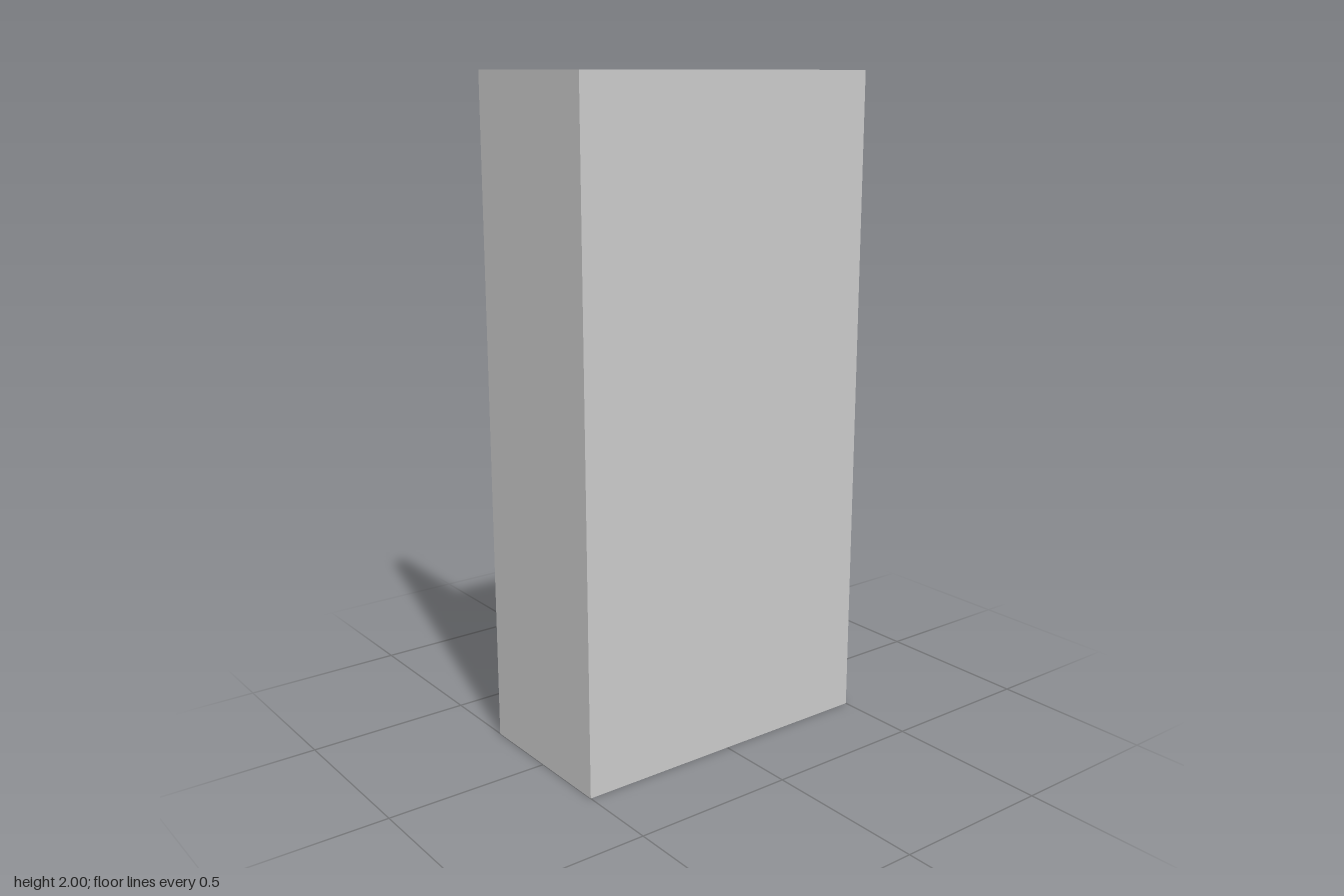
import * as THREE from 'three';

const panel = new THREE.MeshStandardMaterial({ name: 'grey panel', color: 0xcacaca, side: THREE.DoubleSide });
const metal = new THREE.MeshStandardMaterial({ name: 'slate metal', color: 0x778899, side: THREE.DoubleSide });

const W = 0.5, D = 0.25, T = 0.05, H = 2, FLOOR = 0.02;

function add(parent, name, geometry, material) {
  const mesh = new THREE.Mesh(geometry, material);
  mesh.name = name;
  parent.add(mesh);
  return mesh;
}

// Upright sheet from y0 to y1, turned about y and centred on (x, z)
function sheet(parent, name, width, y0, y1, x, z, turn) {
  const mesh = add(parent, name, new THREE.PlaneGeometry(width, y1 - y0), panel);
  mesh.position.set(x, (y0 + y1) / 2, z);
  mesh.rotation.y = turn;
}

function tube(parent, name, curve, radius, sides) {
  return add(parent, name, new THREE.TubeGeometry(curve, 20, radius, sides, false), metal);
}

function lathe(points, sides) {
  return new THREE.LatheGeometry(points.map(p => new THREE.Vector2(...p)), sides).toNonIndexed();
}

// Hollow three-sided stall, open underneath and along its -z side
function stall() {
  const g = new THREE.Group();
  g.name = 'stall';
  sheet(g, 'mainWallOuter', 2 * W, 0, H, 0, D, 0);
  sheet(g, 'mainWallInner', 2 * (W - T), FLOOR, H, 0, D - T, Math.PI);
  sheet(g, 'threshold', 2 * (W - T), 0, FLOOR, 0, -D, Math.PI);
  for (const s of [1, -1]) {
    sheet(g, 'sideWallOuter', 2 * D, 0, H, s * W, 0, s * Math.PI / 2);
    sheet(g, 'sideWallInner', 2 * D - T, FLOOR, H, s * (W - T), -T / 2, -s * Math.PI / 2);
    sheet(g, 'sideWallEnd', T, 0, H, s * (W - T / 2), -D, Math.PI);
  }
  // Top rim; shape y becomes -z once laid flat
  const rim = new THREE.Shape([
    [-W, -D], [W, -D], [W, D], [W - T, D], [W - T, T - D], [T - W, T - D], [T - W, D], [-W, D],
  ].map(p => new THREE.Vector2(...p)));
  const top = add(g, 'topRim', new THREE.ShapeGeometry(rim), panel);
  top.rotation.x = -Math.PI / 2;
  top.position.y = H;
  const floor = add(g, 'floor', new THREE.PlaneGeometry(2 * (W - T), 2 * D - T), panel);
  floor.rotation.x = -Math.PI / 2;
  floor.position.set(0, FLOOR, -T / 2);
  return g;
}

// Bent arm and tilted head with a recessed face
function shower() {
  const g = new THREE.Group();
  g.name = 'shower';
  const arm = new THREE.CatmullRomCurve3([
    [0.2, 1.275], [0.165, 1.273], [0.13, 1.262], [0.105, 1.24], [0.08, 1.208],
  ].map(([z, y]) => new THREE.Vector3(0, y, z)));
  tube(g, 'showerArm', arm, 0.02, 12);
  const profile = [[0, 0.012], [0.03, 0.012], [0.034, 0], [0.042, 0], [0.042, 0.062], [0.02, 0.08]];
  const geometry = lathe(profile, 16);
  geometry.computeVertexNormals();
  const head = add(g, 'showerHead', geometry, metal);
  head.position.set(0, 1.165, 0.035);
  head.rotation.x = 0.65;
  return g;
}

// Bridge pipe with wall flanges and a central knob
function faucet() {
  const g = new THREE.Group();
  g.name = 'faucet';
  g.position.y = 0.507;
  const v = (x, z) => new THREE.Vector3(x, 0, z);
  const path = new THREE.CurvePath();
  path.add(new THREE.LineCurve3(v(-0.1, 0.2), v(-0.1, 0.165)));
  path.add(new THREE.QuadraticBezierCurve3(v(-0.1, 0.165), v(-0.1, 0.125), v(-0.06, 0.125)));
  path.add(new THREE.LineCurve3(v(-0.06, 0.125), v(0.06, 0.125)));
  path.add(new THREE.QuadraticBezierCurve3(v(0.06, 0.125), v(0.1, 0.125), v(0.1, 0.165)));
  path.add(new THREE.LineCurve3(v(0.1, 0.165), v(0.1, 0.2)));
  tube(g, 'bridgePipe', path, 0.01, 8);
  for (const s of [1, -1]) {
    const flange = add(g, 'wallFlange', new THREE.CylinderGeometry(0.016, 0.016, 0.01, 8), metal);
    flange.rotation.x = Math.PI / 2;
    flange.position.set(s * 0.1, 0, 0.195);
  }
  const knob = add(g, 'knob', new THREE.CylinderGeometry(0.018, 0.029, 0.035, 12), metal);
  knob.rotation.x = Math.PI / 2;
  knob.rotation.x *= -1;
  knob.rotation.z = Math.PI;
  knob.scale.y = -1;
  knob.scale.x = -1;
  knob.position.set(0, 0, 0.105);
  return g;
}

// Eight-sided drain ring, domed strainer and short outlet below the floor
function drain() {
  const g = new THREE.Group();
  g.name = 'drain';
  g.position.z = -0.027;
  const ring = lathe([[0.024, 0], [0.037, 0.016], [0.037, 0.028], [0.029, 0.028], [0.026, 0.021]], 8);
  ring.computeVertexNormals();
  add(g, 'drainRing', ring, metal);
  const dome = add(g, 'strainer', new THREE.SphereGeometry(0.023, 12, 6, 0, Math.PI * 2, 0, Math.PI / 2), metal);
  dome.scale.y = 0.4;
  dome.position.y = 0.022;
  const outlet = add(g, 'outlet', new THREE.CylinderGeometry(0.024, 0.02, 0.02, 8), metal);
  outlet.position.y = 0.01;
  return g;
}

export function createModel() {
  const model = new THREE.Group();
  model.name = 'showerStall';
  model.add(stall(), shower(), faucet(), drain());
  return model;
}
